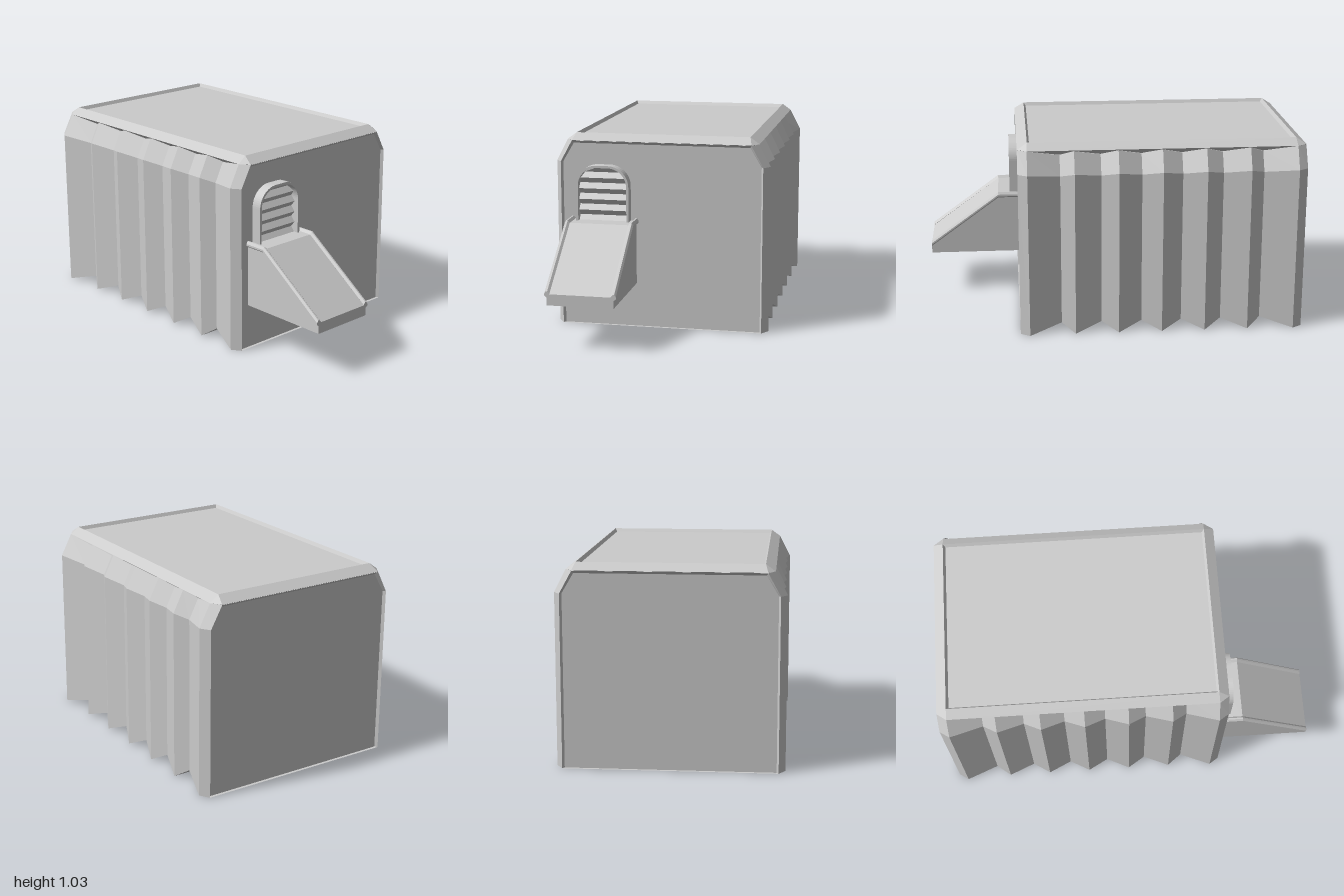
import * as THREE from 'three';

const material = new THREE.MeshStandardMaterial({ color: 0xcccccc, flatShading: true });

// Skins a row of loops (counter-clockwise seen from the first one) and caps both ends.
function loft(loops) {
  const pos = [];
  const tri = (...pts) => pts.forEach((p) => pos.push(...p));
  const n = loops[0].length;
  for (let i = 0; i < loops.length - 1; i++) {
    for (let j = 0; j < n; j++) {
      const k = (j + 1) % n;
      const [a, b, c, d] = [loops[i][j], loops[i][k], loops[i + 1][k], loops[i + 1][j]];
      tri(a, d, b);
      tri(b, d, c);
    }
  }
  const first = loops[0], last = loops[loops.length - 1];
  for (let j = 1; j < n - 1; j++) {
    tri(first[0], first[j], first[j + 1]);
    tri(last[0], last[j + 1], last[j]);
  }
  const geo = new THREE.BufferGeometry();
  geo.setAttribute('position', new THREE.Float32BufferAttribute(pos, 3));
  geo.computeVertexNormals();
  return geo;
}

function add(parent, name, geometry) {
  const mesh = new THREE.Mesh(geometry, material);
  mesh.name = name;
  parent.add(mesh);
  return mesh;
}

// Symmetric shelter cross-section: wall, shoulder and roof edge on both sides.
function section(z, half) {
  const right = half.map(([x, y]) => [x, y, z]);
  const left = half.map(([x, y]) => [-x, y, z]).reverse();
  return [...right, ...left];
}

const PANEL = [[0.527, 0], [0.527, 0.88], [0.468, 0.98]];
const RIM = [[0.537, 0], [0.537, 0.88], [0.475, 0.993]];
const OUTER = [[0.57, 0], [0.57, 0.88], [0.51, 0.995]];
const RIDGE = [[0.56, 0], [0.56, 0.88], [0.505, 0.99]];
const VALLEY = [[0.515, 0.05], [0.515, 0.86], [0.465, 0.96]];
const MID_Z = -0.245;

// Pleated body with a recessed panel at each end
function bodyGeometry() {
  const loops = [section(0.495, PANEL), section(0.51, RIM), section(0.46, OUTER)];
  for (let i = 0; i < 6; i++) {
    loops.push(section(0.29 - i * 0.213, VALLEY));
    if (i < 5) loops.push(section(0.217 - i * 0.23, RIDGE));
  }
  loops.push(section(-0.95, OUTER), section(-1, RIM), section(-0.985, PANEL));
  return loft(loops);
}

// Roof slab with chamfered rim and sunken panel
function roofGeometry() {
  const ring = (y, x, z, cutX = 0, cutZ = 0) => [
    [x, z - cutZ], [x, -z + cutZ], [x - cutX, -z], [-x + cutX, -z],
    [-x, -z + cutZ], [-x, z - cutZ], [-x + cutX, z], [x - cutX, z],
  ].map(([px, pz]) => [px, y, MID_Z + pz]);
  return loft([
    ring(1.012, 0.452, 0.69),
    ring(1.03, 0.462, 0.702),
    ring(0.995, 0.51, 0.755, 0.035, 0.05),
    ring(0.95, 0.44, 0.69),
  ]);
}

// Rounded-top outline of the doorway
function arch(Target, w, top, r, bottom) {
  const s = new Target();
  s.moveTo(-w, bottom);
  s.lineTo(w, bottom);
  s.lineTo(w, top - r);
  s.absarc(w - r, top - r, r, 0, Math.PI / 2, false);
  s.absarc(-w + r, top - r, r, Math.PI / 2, Math.PI, false);
  s.lineTo(-w, bottom);
  return s;
}

function doorway() {
  const g = new THREE.Group();
  g.name = 'doorway';
  const outline = arch(THREE.Shape, 0.142, 0.87, 0.11, 0.56);
  outline.holes.push(arch(THREE.Path, 0.13, 0.858, 0.098, 0.562));
  const frame = new THREE.ExtrudeGeometry(outline, { depth: 0.06, bevelEnabled: false, curveSegments: 8 });
  add(g, 'doorFrame', frame).position.z = 0.49;

  // Folded curtain, narrowed to follow the arch
  const rows = [];
  for (let i = 0; i <= 10; i++) {
    const y = 0.858 - i * 0.0286;
    const rise = Math.max(0, y - 0.76);
    const w = 0.032 + Math.sqrt(Math.max(0, 0.098 ** 2 - rise ** 2));
    const z = i % 2 ? 0.502 : 0.525;
    rows.push([[-w, y, z], [w, y, z]]);
  }
  add(g, 'foldedCurtain', loft(rows));
  g.position.x = -0.305;
  return g;
}

function ramp() {
  const g = new THREE.Group();
  g.name = 'entryRamp';
  const side = new THREE.Shape([
    [0.49, 0.235], [1, 0.235], [1, 0.293], [0.615, 0.575], [0.49, 0.575],
  ].map(([z, y]) => new THREE.Vector2(-z, y)));
  const body = new THREE.ExtrudeGeometry(side, { depth: 0.344, bevelEnabled: false });
  body.translate(0, 0, -0.172);
  body.rotateY(Math.PI / 2);
  add(g, 'rampBody', body);

  // Bevelled rails along both edges, following the platform and slope
  const path = [[1, 0.295], [0.615, 0.575], [0.49, 0.575]];
  const profile = [[-0.171, -0.02], [-0.157, 0], [-0.168, 0.013], [-0.176, 0.013], [-0.184, 0], [-0.184, -0.01]];
  for (const s of [1, -1]) {
    const cut = profile.map(([x, y]) => [x * s, y]);
    if (s < 0) cut.reverse();
    const loops = path.map(([z, py]) => cut.map(([x, y]) => [x, py + y, z]));
    add(g, s > 0 ? 'rightRail' : 'leftRail', loft(loops));
  }
  g.position.x = -0.306;
  return g;
}

export function createModel() {
  const model = new THREE.Group();
  model.name = 'pleatedShelter';
  add(model, 'pleatedBody', bodyGeometry());
  add(model, 'roof', roofGeometry());
  model.add(doorway(), ramp());
  return model;
}
